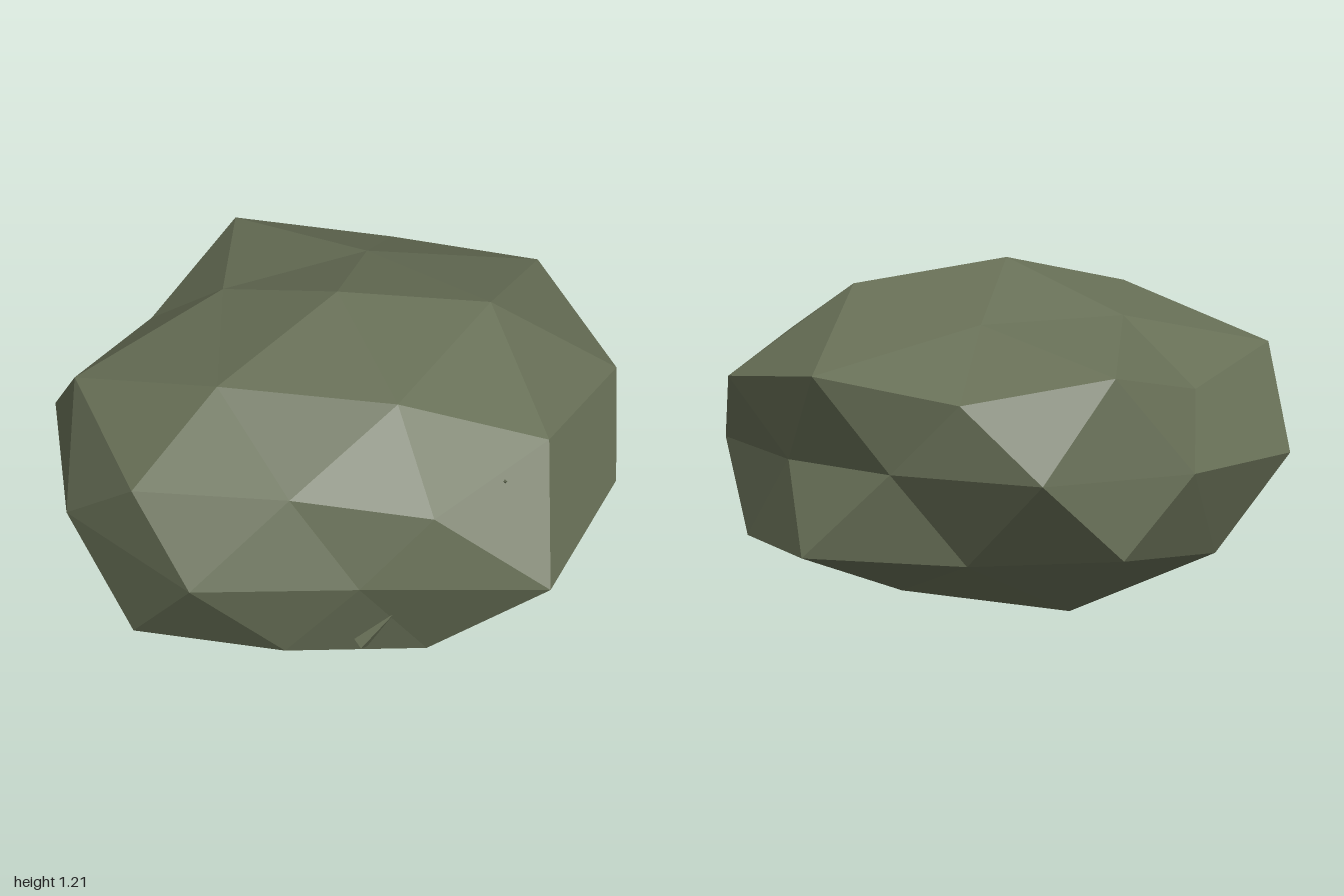
import * as THREE from 'three';

// Each ring: start angle and step in degrees (from +x towards +z), then [radius, height] pairs
const CENTRE_Z = 0.055;
const ring = (start, step, pairs) => pairs.map(([r, y], i) => {
  const a = THREE.MathUtils.degToRad(start + step * i);
  return new THREE.Vector3(r * Math.cos(a), y, CENTRE_Z + r * Math.sin(a));
});

function boulderGeometry() {
  const top = new THREE.Vector3(0, 1.205, CENTRE_Z);
  const bottom = new THREE.Vector3(0, 0.055, CENTRE_Z);
  const crown = ring(0, 72, [[0.55, 1.12], [0.55, 1.085], [0.57, 1.065], [0.475, 1.03], [0.48, 1.03]]);
  const upper = ring(0, 36, [[1, 0.795], [0.88, 0.885], [0.88, 0.8], [0.77, 0.84], [0.975, 0.8],
    [0.94, 0.885], [0.77, 0.785], [0.92, 0.89], [0.88, 0.795], [0.95, 0.87]]);
  const waist = ring(18, 36, [1.02, 1.155, 0.873, 1.03, 1.05, 1.03, 0.985, 1.055, 0.859, 0.858].map(r => [r, 0.53]));
  const lower = ring(0, 36, [[0.93, 0.22], [0.81, 0.225], [0.81, 0.175], [0.84, 0.22], [0.965, 0.17],
    [0.78, 0.22], [0.85, 0.2], [0.99, 0.24], [0.74, 0.195], [1, 0.22]]);
  const base = ring(36, 72, [[0.5, 0.055], [0.48, 0.055], [0.55, 0.07], [0.53, 0], [0.51, 0.055]]);

  const points = [];
  const centre = new THREE.Vector3(0, 0.53, CENTRE_Z);
  // adds a triangle, turned so that it faces outwards
  const tri = (a, b, c) => {
    const n = b.clone().sub(a).cross(c.clone().sub(a));
    const out = a.clone().add(b).add(c).divideScalar(3).sub(centre);
    points.push(...(n.dot(out) > 0 ? [a, b, c] : [a, c, b]));
  };
  const at = (list, i) => list[i % list.length];

  // five equal sectors, from the top cap to the bottom cap
  for (let k = 0; k < 5; k++) {
    const j = 2 * k;
    const C = i => at(crown, k + i), B = i => at(base, k + i);
    const U = i => at(upper, j + i), W = i => at(waist, j + i), L = i => at(lower, j + i);
    tri(top, C(0), C(1));
    tri(C(0), U(0), U(1));
    tri(C(0), U(1), C(1));
    tri(C(1), U(1), U(2));

    tri(U(0), W(0), U(1));
    tri(U(1), W(0), W(1));
    tri(U(1), W(1), U(2));
    tri(W(0), L(1), W(1));

    tri(W(1), W(2), U(2));
    tri(W(1), L(1), L(2));
    tri(W(1), L(2), W(2));
    tri(W(2), L(2), L(3));

    tri(B(0), L(1), L(2));
    tri(B(0), L(2), B(1));
    tri(B(1), L(2), L(3));
    tri(bottom, B(0), B(1));
  }
  const geometry = new THREE.BufferGeometry().setFromPoints(points);
  geometry.computeVertexNormals();
  return geometry;
}

export function createModel() {
  const group = new THREE.Group();
  group.name = 'boulder';
  const stone = new THREE.MeshStandardMaterial({ color: 0x676f56, flatShading: true });
  stone.name = 'mossy stone';

  const body = new THREE.Mesh(boulderGeometry(), stone);
  body.name = 'rockBody';
  group.add(body);

  // small stone slivers that break through the front faces
  const sliver = (name, from, to, radius) => {
    const a = new THREE.Vector3(...from), b = new THREE.Vector3(...to);
    const mesh = new THREE.Mesh(new THREE.ConeGeometry(radius, a.distanceTo(b), 4), stone);
    mesh.name = name;
    mesh.position.copy(a).add(b).multiplyScalar(0.5);
    mesh.quaternion.setFromUnitVectors(new THREE.Vector3(0, 1, 0), b.sub(a).normalize());
    group.add(mesh);
  };
  sliver('lowerSliver', [0.01, 0.245, 0.865], [0.13, 0.385, 0.885], 0.03);
  sliver('upperSliver', [0.54, 0.81, 0.70], [0.54, 0.835, 0.74], 0.02);
  return group;
}
